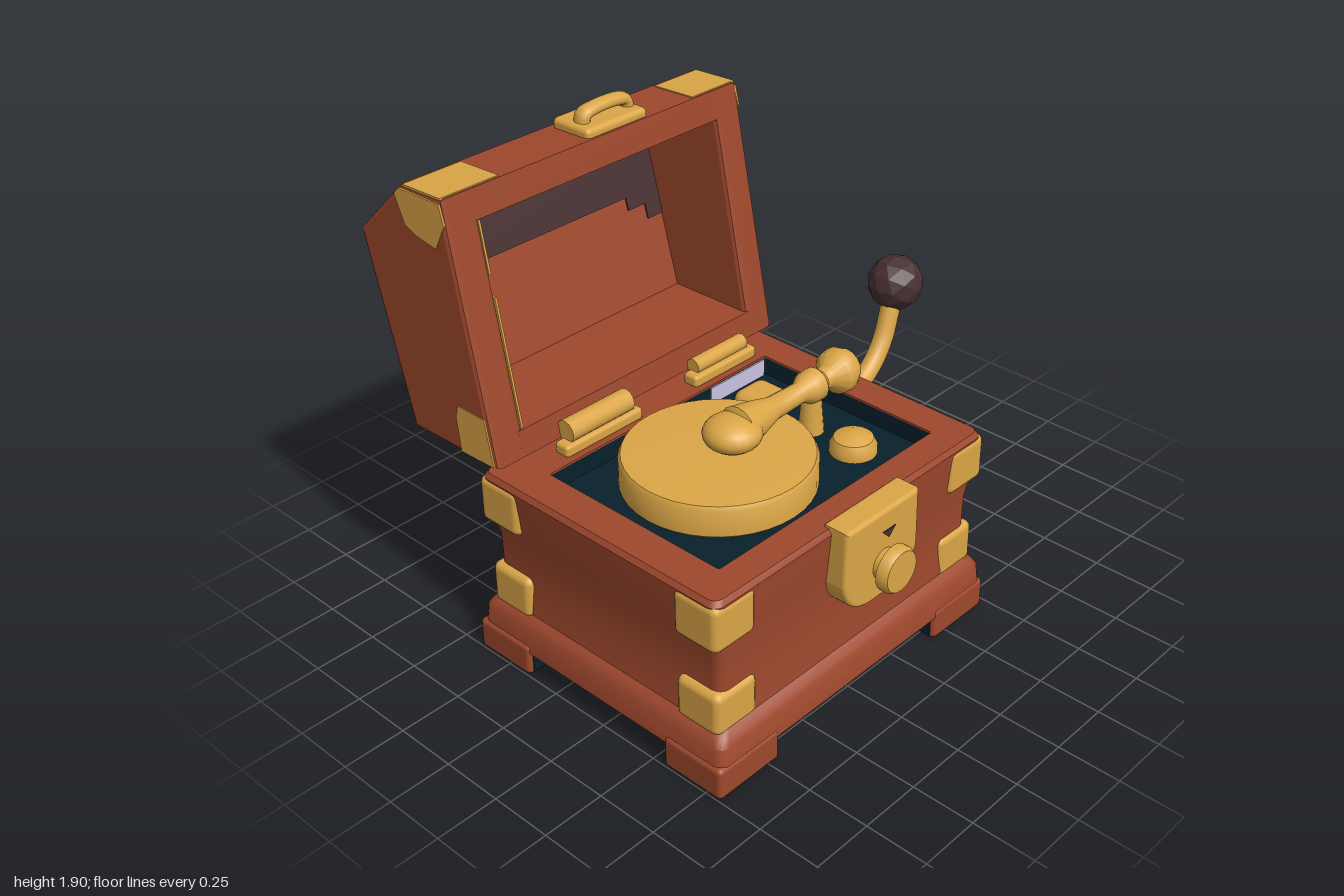
import * as THREE from 'three';
import { toCreasedNormals } from 'three/addons/utils/BufferGeometryUtils.js';
import { RoundedBoxGeometry } from 'three/addons/geometries/RoundedBoxGeometry.js';

const mat = (name, color) => Object.assign(new THREE.MeshStandardMaterial({ color }), { name });
const CX = -0.26, CZ = 0.205; // centre of the box part

export function createModel() {
  const rust = mat('rust wood', 0x9e482d), gold = mat('brass', 0xdba647), navy = mat('navy deck', 0x08202c);
  const brown = mat('dark brown', 0x483031), lavender = mat('lavender underside', 0xcbc4e6);
  const model = new THREE.Group();
  model.name = 'musicBox';

  const add = (name, geo, material, x = 0, y = 0, z = 0) => {
    const m = new THREE.Mesh(geo, material);
    m.name = name;
    m.position.set(x, y, z);
    model.add(m);
    return m;
  };
  const rbox = (w, h, d, r = 0.02) => new RoundedBoxGeometry(w, h, d, 2, r);
  const lathe = (pts, seg = 24) =>
    toCreasedNormals(new THREE.LatheGeometry(pts.map(p => new THREE.Vector2(...p)), seg), 0.7);

  // Stack of rounded rectangles: each level is [y, halfWidth, halfDepth, radius, centreX, centreZ]
  const loft = levels => {
    const pos = [], idx = [], n = 20;
    levels.forEach(([y, w, d, r, cx = CX, cz = CZ]) => {
      for (let j = 0; j < n; j++) {
        const q = Math.floor(j / 5), a = (q + (j % 5) / 4) * Math.PI / 2;
        const sx = q === 0 || q === 3 ? 1 : -1, sz = q < 2 ? 1 : -1;
        pos.push(cx + sx * (w - r) + r * Math.cos(a), y, cz + sz * (d - r) + r * Math.sin(a));
      }
    });
    for (let i = 0; i < levels.length - 1; i++) {
      for (let j = 0; j < n; j++) {
        const a = i * n + j, b = i * n + (j + 1) % n, c = a + n, d = b + n;
        idx.push(a, c, b, b, c, d);
      }
    }
    const g = new THREE.BufferGeometry();
    g.setAttribute('position', new THREE.Float32BufferAttribute(pos, 3));
    g.setIndex(idx);
    return toCreasedNormals(g, 0.6);
  };

  // Side profile given as [-z, y], extruded along x from x0 to x1
  const profile = (pts, x0, x1, bevel = 0) => {
    const g = new THREE.ExtrudeGeometry(new THREE.Shape(pts.map(p => new THREE.Vector2(...p))), {
      depth: x1 - x0 - 2 * bevel, bevelEnabled: bevel > 0, bevelSize: bevel,
      bevelThickness: bevel, bevelOffset: -bevel, bevelSegments: 2,
    });
    return g.translate(0, 0, x0 + bevel).rotateY(Math.PI / 2);
  };

  // Box body with plinth, coved walls and rim
  const well = [0.565, 0.41, 0.01, -0.255, 0.24];
  add('body', loft([
    [0.1, 0, 0, 0], [0.1, 0.731, 0.611, 0.04], [0.195, 0.722, 0.602, 0.04], [0.222, 0.705, 0.585, 0.04],
    [0.24, 0.685, 0.565, 0.04], [0.36, 0.672, 0.553, 0.04], [0.52, 0.675, 0.555, 0.04], [0.62, 0.7, 0.565, 0.04],
    [0.77, 0.713, 0.575, 0.04], [0.79, 0.7, 0.562, 0.035], [0.79, ...well], [0.782, ...well],
  ]), rust);

  // Dark sunken well, with a pale panel on its back wall
  add('well', loft([[0.782, ...well], [0.71, ...well], [0.71, 0, 0, 0, -0.255, 0.24]]), navy);
  add('wellBackPanel', new THREE.BoxGeometry(0.3, 0.07, 0.006), lavender, 0.15, 0.745, -0.166);
  add('underside', new THREE.BoxGeometry(1.42, 0.008, 1.18), lavender, CX, 0.098, CZ);

  // Feet with dark inner faces, and brass corner brackets
  for (const sx of [-1, 1]) for (const sz of [-1, 1]) {
    add('foot', rbox(0.3, 0.13, 0.27, 0.02), rust, -0.265 + sx * 0.585, 0.065, CZ + sz * 0.48);
    add('footInnerSide', new THREE.BoxGeometry(0.006, 0.085, 0.23), navy, -0.265 + sx * 0.434, 0.056, CZ + sz * 0.48);
    add('footInnerEnd', new THREE.BoxGeometry(0.26, 0.085, 0.006), navy, -0.265 + sx * 0.585, 0.056, CZ + sz * 0.344);
    for (const [y, h, w, d] of [[0.68, 0.19, 0.72, 0.58], [0.305, 0.175, 0.7, 0.568]]) {
      add('cornerBracketFront', rbox(0.2, h, 0.09, 0.03), gold, CX + sx * (w - 0.1), y, CZ + sz * (d - 0.045));
      add('cornerBracketSide', rbox(0.09, h, 0.2, 0.03), gold, CX + sx * (w - 0.045), y, CZ + sz * (d - 0.1));
    }
  }

  // Front latch with round button and keyhole
  const latch = new THREE.Shape();
  latch.moveTo(-0.18, 0.17);
  latch.lineTo(-0.185, -0.04);
  latch.quadraticCurveTo(-0.17, -0.15, -0.06, -0.16);
  latch.lineTo(0.06, -0.16);
  latch.quadraticCurveTo(0.17, -0.15, 0.185, -0.04);
  latch.lineTo(0.18, 0.17);
  add('latchPlate', new THREE.ExtrudeGeometry(latch, {
    depth: 0.08, bevelSize: 0.015, bevelThickness: 0.015, bevelSegments: 3,
  }), gold, -0.21, 0.615, 0.755);
  add('latchButton', lathe([[0.06, 0], [0.06, 0.03], [0.09, 0.035], [0.09, 0.065], [0.08, 0.08], [0, 0.08]])
    .rotateX(Math.PI / 2), gold, -0.2, 0.58, 0.85);
  const keyhole = new THREE.Shape([[-0.035, 0.015], [0, -0.02], [0.035, 0.015]].map(p => new THREE.Vector2(...p)));
  add('keyhole', new THREE.ExtrudeGeometry(keyhole, { depth: 0.005, bevelEnabled: false }), brown, -0.18, 0.7, 0.848);

  // Turntable, arm and control knobs
  add('turntable', lathe([[0.35, 0], [0.36, 0.01], [0.36, 0.11], [0.35, 0.128], [0.32, 0.13], [0, 0.13]], 40),
    gold, -0.358, 0.71, 0.213);
  const head = add('armHead', new THREE.SphereGeometry(0.11, 20, 12), gold, -0.315, 0.905, 0.24);
  head.scale.y = 0.6;
  add('headPin', new THREE.CylinderGeometry(0.035, 0.035, 0.06, 12), gold, -0.31, 0.855, 0.24);
  add('arm', lathe([
    [0, -0.32], [0.085, -0.28], [0.07, -0.2], [0.045, -0.1], [0.04, 0.05], [0.062, 0.09], [0.065, 0.14],
    [0.04, 0.17], [0.045, 0.2], [0.085, 0.24], [0.09, 0.28], [0.07, 0.32], [0, 0.325],
  ], 16).rotateZ(-Math.PI / 2), gold, 0, 0.905, 0.235);
  add('armPost', new THREE.CylinderGeometry(0.035, 0.05, 0.18, 16), gold, 0.12, 0.8, 0.235);
  add('roundKnob', lathe([[0.09, 0], [0.09, 0.03], [0.075, 0.06], [0.04, 0.075], [0, 0.08]]), gold, 0.12, 0.71, 0.44);
  add('squareKnob', rbox(0.175, 0.1, 0.19, 0.045), gold, 0.12, 0.735, -0.005);

  // Crank on the model's left side
  add('crankFlange', lathe([[0.1, 0], [0.1, 0.035], [0.085, 0.055], [0.055, 0.055], [0.05, 0.08], [0, 0.08]])
    .rotateZ(-Math.PI / 2), gold, 0.415, 0.595, 0.065);
  const crankPath = new THREE.CatmullRomCurve3([
    [0.45, 0.605, 0.065], [0.6, 0.615, 0.06], [0.7, 0.66, 0.05], [0.78, 0.74, 0.04], [0.83, 0.84, 0.03], [0.87, 0.94, 0.02],
  ].map(p => new THREE.Vector3(...p)));
  add('crankArm', new THREE.TubeGeometry(crankPath, 24, 0.04, 12), gold);
  add('crankBall', toCreasedNormals(new THREE.IcosahedronGeometry(0.114, 1), 0.1), brown, 0.884, 0.96, 0.015);

  // Open lid: two solid ends joined by a hollow shell
  const outer = [[0.27, 0.83], [0.73, 0.82], [0.93, 1.56], [0.68, 1.8], [0.46, 1.81]];
  const inner = [[0.44, 1.7], [0.64, 1.7], [0.83, 1.53], [0.665, 0.925], [0.289, 0.93]];
  add('lidShell', profile([...outer, ...inner], -0.85, 0.35), rust);
  add('lidRightEnd', profile(outer, -0.97, -0.83, 0.02), rust);
  add('lidLeftEnd', profile(outer, 0.33, 0.46, 0.02), rust);

  // Lid lining: dark brown back around a bare patch, brass right wall
  const back = y => 0.665 + (y - 0.925) * 0.165 / 0.605;
  for (const [y0, y1, x0, x1] of [
    [0.93, 1.33, -0.828, -0.58], [1.33, 1.53, -0.828, 0.328], [1.28, 1.33, 0.16, 0.328], [1.22, 1.28, 0.25, 0.328],
  ]) {
    add('lidLining', profile(
      [[back(y0) - 0.007, y0], [back(y0) + 0.003, y0], [back(y1) + 0.003, y1], [back(y1) - 0.007, y1]], x0, x1), brown);
  }
  add('lidSlopeLining', profile([[0.64, 1.694], [0.64, 1.704], [0.833, 1.53], [0.822, 1.53]], -0.828, 0.328), brown);
  add('lidWallLower', profile([[0.292, 0.932], [0.66, 0.932], [0.79, 1.42], [0.385, 1.42]], -0.832, -0.823), gold);
  add('lidWallUpper', profile([[0.405, 1.5], [0.81, 1.5], [0.82, 1.53], [0.64, 1.695], [0.442, 1.695]], -0.832, -0.823), gold);

  // Brass corners of the lid, as thin plates on its ends and top
  const topCorner = [[0.466, 1.795], [0.678, 1.79], [0.705, 1.762], [0.66, 1.66], [0.6, 1.635], [0.5, 1.62], [0.447, 1.72]];
  const lowCorner = [[0.285, 0.838], [0.46, 0.832], [0.475, 0.97], [0.46, 1.02], [0.32, 1.02]];
  for (const [x0, x1, t0, t1] of [[-0.974, -0.966, -0.965, -0.71], [0.456, 0.464, 0.23, 0.455]]) {
    add('lidTopCorner', profile(topCorner, x0, x1), gold);
    add('lidLowCorner', profile(lowCorner, x0, x1), gold);
    add('lidTopPlate', profile([[0.468, 1.806], [0.468, 1.814], [0.665, 1.805], [0.665, 1.797]], t0, t1), gold);
  }

  // Carrying handle on the lid
  add('handlePlate', rbox(0.3, 0.05, 0.19, 0.02), gold, -0.145, 1.817, -0.565);
  const handlePath = new THREE.CatmullRomCurve3([
    [-0.25, 1.83], [-0.24, 1.865], [-0.2, 1.877], [-0.08, 1.877], [-0.04, 1.865], [-0.03, 1.83],
  ].map(([x, y]) => new THREE.Vector3(x, y, 0)));
  const bar = add('handleBar', new THREE.TubeGeometry(handlePath, 24, 0.025, 10), gold, 0, 0, -0.55);
  bar.scale.z = 1.4;

  // Hinges between box and lid
  for (const [x, w, r] of [[-0.52, 0.38, 0.045], [0.12, 0.34, 0.032]]) {
    add('hingeLeaf', rbox(w, 0.05, 0.07, 0.015), gold, x, 0.81, -0.23);
    add('hingeBarrel', new THREE.CylinderGeometry(r, r, w * 0.8, 12).rotateZ(Math.PI / 2), gold, x, 0.82 + r, -0.245);
  }
  return model;
}
